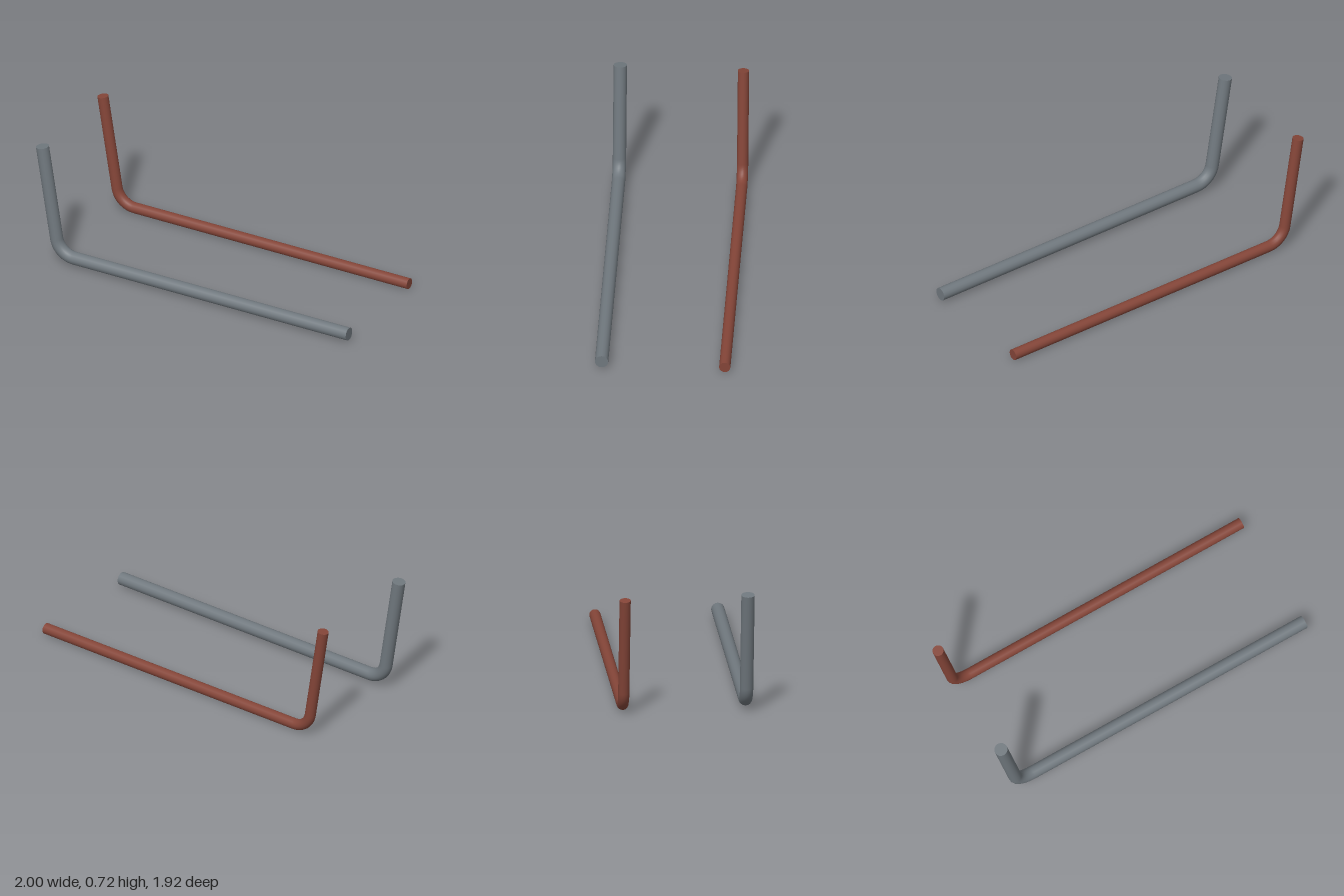
import * as THREE from 'three';

const SIDES = 16;
const LENGTH = 1.882; // long arm, from free end to corner
const RISE = 0.668;   // height of the short arm
const LEAN = 0.108;   // outward lean of the short arm
const BEND = 0.1;     // distance from corner to start of bend

// One bent rod: long level arm, rounded elbow, short rising arm, two flat caps
function bentRod(name, radius, end, material) {
  const rod = new THREE.Group();
  rod.name = name;

  const along = new THREE.Vector3(-0.737, 0, -0.676).normalize();
  const corner = end.clone().addScaledVector(along, LENGTH);
  const tip = corner.clone().addScaledVector(along, LEAN);
  tip.y += RISE;
  const up = tip.clone().sub(corner).normalize();
  const before = (d) => corner.clone().addScaledVector(along, -d);
  const after = (d) => corner.clone().addScaledVector(up, d);

  const path = new THREE.CurvePath();
  path.add(new THREE.LineCurve3(end, before(BEND)));
  path.add(new THREE.CubicBezierCurve3(before(BEND), before(BEND * 0.425), after(BEND * 0.425), after(BEND)));
  path.add(new THREE.LineCurve3(after(BEND), tip));

  const shaft = new THREE.Mesh(new THREE.TubeGeometry(path, 140, radius, SIDES), material);
  shaft.name = name + 'Shaft';
  rod.add(shaft);

  // Flat end caps facing outwards
  const caps = [['EndCap', end, along.clone().negate()], ['TipCap', tip, up]];
  for (const [label, point, facing] of caps) {
    const cap = new THREE.Mesh(new THREE.CircleGeometry(radius, SIDES), material);
    cap.name = name + label;
    cap.position.copy(point);
    cap.lookAt(point.clone().add(facing));
    rod.add(cap);
  }
  return rod;
}

export function createModel() {
  const steel = new THREE.MeshStandardMaterial({ color: 0x70787e });
  steel.name = 'steelGrey';
  const rust = new THREE.MeshStandardMaterial({ color: 0x844538 });
  rust.name = 'rustBrown';

  const model = new THREE.Group();
  model.name = 'bentRods';
  model.add(bentRod('thickRod', 0.038, new THREE.Vector3(0.505, 0.047, 0.929), steel));
  model.add(bentRod('thinRod', 0.032, new THREE.Vector3(0.975, 0.032, 0.414), rust));
  return model;
}
